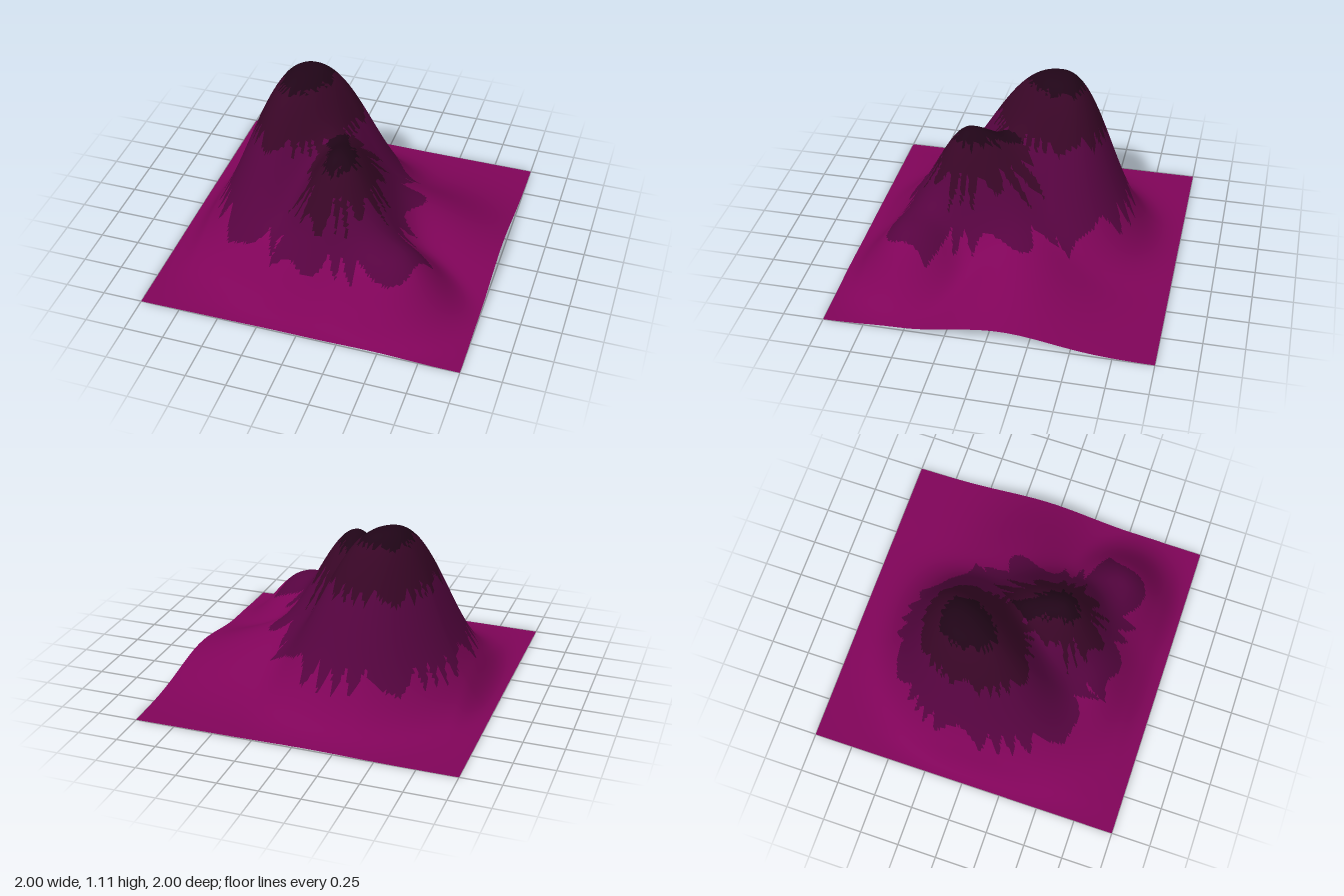
import * as THREE from 'three';

// Rounded hill with its own radius on each side; skew stretches it along a diagonal
function hill(cx, cz, height, [left, right, back, front], power, skew = 0) {
  return (x, z) => {
    const u = (x - cx) / (x < cx ? left : right);
    const w = (z - cz) / (z < cz ? back : front);
    const q = Math.max(0, u * u + w * w + skew * u * w);
    return height * Math.exp(-Math.pow(q, power / 2));
  };
}

const mainPeak = hill(-0.32, -0.2, 1.105, [0.395, 0.48, 0.405, 0.61], 2.45, 0.5);
const secondPeak = hill(0.05, 0.3, 0.855, [0.3, 0.38, 0.56, 0.34], 2);
const spur = hill(0.46, 0.56, 0.41, [0.45, 0.33, 0.33, 0.29], 2.4);
const frontApron = hill(-0.15, 0.5, 0.36, [0.42, 0.6, 0.4, 0.32], 2.5);
const sideRidge = hill(0.3, -0.08, 0.32, [0.4, 0.62, 0.43, 0.43], 2);
const hills = [mainPeak, secondPeak, spur, frontApron, sideRidge];

// Smooth blend of all hills, levelling out toward the left and front borders
function heightAt(x, z) {
  const blend = Math.cbrt(hills.reduce((s, h) => s + h(x, z) ** 3, 0));
  const border = THREE.MathUtils.smoothstep(x, -1.04, -0.82)
    * (1 - THREE.MathUtils.smoothstep(z, 0.85, 1.15));
  return blend * border;
}

// Zigzag around a centre, from -1 to 1, for the ragged borders of the bands
function zigzag(x, z, cx, cz, teeth) {
  const a = Math.atan2(z - cz, x - cx);
  const t = (a / (2 * Math.PI) + 0.5) * teeth + 0.6 * Math.sin(a * 5);
  return 4 * Math.abs(t - Math.floor(t) - 0.5) - 1;
}

// Colour band of a point: 0 at the foot to 3 at the summits
function bandAt(x, y, z) {
  const onSecond = secondPeak(x, z) > mainPeak(x, z);
  const jag = onSecond ? zigzag(x, z, 0.05, 0.3, 13) : zigzag(x, z, -0.3, -0.1, 23);
  const limits = onSecond
    ? [0.31 + 0.07 * jag, 0.57 + 0.12 * jag, 0.8 + 0.03 * jag]
    : [0.29 + 0.08 * jag, 0.76 + 0.05 * jag, 1.03 + 0.02 * jag];
  return limits.filter((limit) => y > limit).length;
}

export function createModel() {
  const group = new THREE.Group();
  group.name = 'mountain';

  // Height field over a square
  const terrain = new THREE.PlaneGeometry(2, 2, 120, 120).rotateX(-Math.PI / 2);
  const pos = terrain.attributes.position;
  for (let i = 0; i < pos.count; i++) pos.setY(i, heightAt(pos.getX(i), pos.getZ(i)));
  terrain.computeVertexNormals();

  // Sort the triangles into bands; all bands share the smooth normals
  const bands = [[], [], [], []];
  const index = terrain.index.array;
  for (let i = 0; i < index.length; i += 3) {
    const tri = [index[i], index[i + 1], index[i + 2]];
    const mean = (axis) => tri.reduce((s, v) => s + pos.getComponent(v, axis), 0) / 3;
    bands[bandAt(mean(0), mean(1), mean(2))].push(...tri);
  }

  const names = ['footSlopes', 'middleSlopes', 'upperSlopes', 'summits'];
  const colors = [0x800459, 0x560440, 0x380626, 0x200517];
  bands.forEach((tris, b) => {
    const geometry = new THREE.BufferGeometry();
    geometry.setAttribute('position', pos);
    geometry.setAttribute('normal', terrain.attributes.normal);
    geometry.setIndex(tris);
    const material = new THREE.MeshStandardMaterial({ color: colors[b], side: THREE.DoubleSide });
    const mesh = new THREE.Mesh(geometry, material);
    mesh.name = names[b];
    group.add(mesh);
  });
  return group;
}
